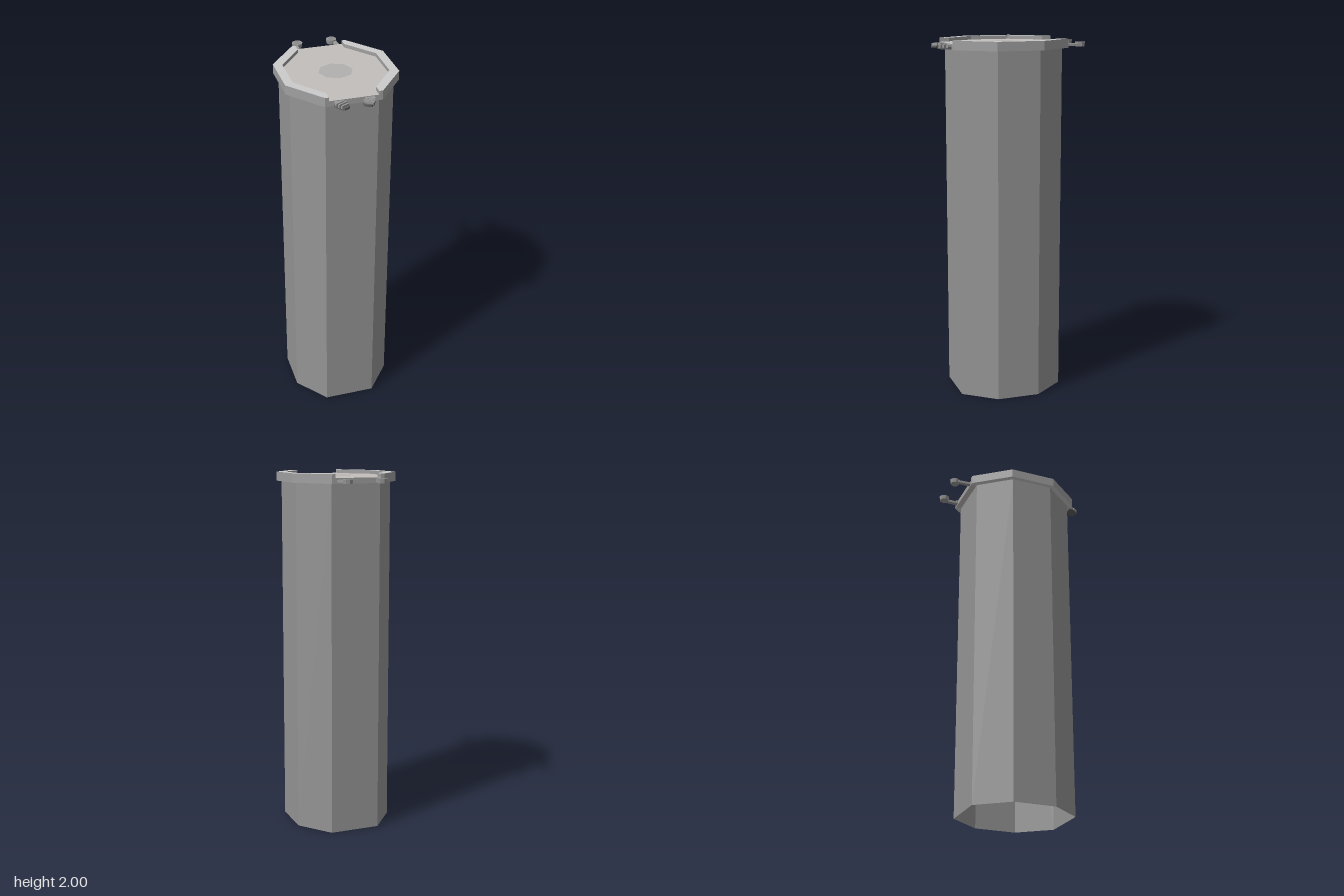
import * as THREE from 'three';

const paint = (color, side = THREE.FrontSide) => new THREE.MeshStandardMaterial({ color, flatShading: true, side });
const rimTop = paint(0xcccccc);
const rimSide = paint(0xa0a0a0);
const bodyMat = paint(0x949494, THREE.DoubleSide);
const hookMat = paint(0x9a9a9a);
const recessMat = paint(0x606060);
const knobTop = paint(0x8a8a8a);
const panelMat = paint(0xc3bebc);
const discMat = paint(0xb2b0ae);

// Upright prism from an (x, z) outline between two heights
function slab(name, outline, y0, y1, material) {
  const shape = new THREE.Shape(outline.map(([x, z]) => new THREE.Vector2(x, -z)));
  const geo = new THREE.ExtrudeGeometry(shape, { depth: y1 - y0, bevelEnabled: false });
  geo.rotateX(-Math.PI / 2).translate(0, y0, 0);
  const mesh = new THREE.Mesh(geo, material);
  mesh.name = name;
  return mesh;
}

// Flat eight-sided disc facing up
function octagonDisc(name, radius, x, y, z, material) {
  const mesh = new THREE.Mesh(new THREE.CircleGeometry(radius, 8), material);
  mesh.name = name;
  mesh.rotation.x = -Math.PI / 2;
  mesh.position.set(x, y, z);
  return mesh;
}

const mirror = (points, s) => points.map(([x, z]) => [x * s, z]);

// Eight-sided wall, open at both ends
function tubeWall(outline, y0, y1) {
  const pos = [];
  outline.forEach(([ax, az], i) => {
    const [bx, bz] = outline[(i + 1) % outline.length];
    pos.push(ax, y0, az, bx, y0, bz, bx, y1, bz, ax, y0, az, bx, y1, bz, ax, y1, az);
  });
  const geo = new THREE.BufferGeometry();
  geo.setAttribute('position', new THREE.Float32BufferAttribute(pos, 3));
  geo.computeVertexNormals();
  return geo;
}

export function createModel() {
  const model = new THREE.Group();
  model.name = 'octagonalTube';

  // Long hollow body, open underneath
  const half = [[0.14, 0.321], [0.278, 0.146], [0.278, -0.092], [0.14, -0.267]];
  const body = new THREE.Mesh(tubeWall([...half, ...mirror(half, -1).reverse()], 0, 1.955), bodyMat);
  body.name = 'body';
  model.add(body);

  // Lid panel and its centre disc
  const inner = [[0.13, 0.35], [0.13, 0.30], [0.257, 0.135], [0.257, -0.085], [0.13, -0.25], [0.13, -0.30]];
  model.add(slab('lidPanel', [...inner, ...mirror(inner, -1).reverse()], 1.95, 1.98, [panelMat, rimSide]));
  model.add(octagonDisc('centreDisc', 0.092, 0, 1.9812, 0.025, discMat));

  const outer = [[0.15, -0.30], [0.303, -0.105], [0.303, 0.156], [0.15, 0.35]];
  for (const s of [1, -1]) {
    const side = s > 0 ? 'left' : 'right';

    // Raised rim half, leaving gaps at front and back
    model.add(slab(side + 'Rim', mirror([...inner, ...outer], s), 1.95, 2, [rimTop, rimSide]));

    // Rear arm ending in an eight-sided knob
    const rear = new THREE.Group();
    rear.name = side + 'RearHook';
    rear.add(slab('rearArm', mirror([[0.10, -0.29], [0.124, -0.29], [0.12, -0.38], [0.10, -0.38]], s), 1.957, 1.971, hookMat));
    const knob = new THREE.Mesh(new THREE.CylinderGeometry(0.03, 0.026, 0.024, 8), hookMat);
    knob.name = 'rearKnob';
    knob.position.set(0.097 * s, 1.965, -0.39);
    rear.add(knob);
    rear.add(octagonDisc('knobInset', 0.021, 0.097 * s, 1.978, -0.39, knobTop));
    model.add(rear);

    // Front claw turned inwards, with a dark slot between two ridges
    const front = new THREE.Group();
    front.name = side + 'FrontClaw';
    front.add(slab('clawBase', mirror([[0.06, 0.34], [0.105, 0.34], [0.105, 0.37], [0.088, 0.403],
      [0.07, 0.418], [0.05, 0.41], [0.036, 0.398], [0.038, 0.382], [0.06, 0.355]], s), 1.953, 1.964, recessMat));
    front.add(slab('clawArm', mirror([[0.06, 0.34], [0.105, 0.34], [0.105, 0.37], [0.1, 0.38], [0.055, 0.358]], s), 1.96, 1.976, hookMat));
    for (const [x, z, w] of [[0.069, 0.380, 0.056], [0.062, 0.399, 0.046]]) {
      const ridge = new THREE.Mesh(new THREE.BoxGeometry(w, 0.018, 0.009), hookMat);
      ridge.name = 'clawRidge';
      ridge.position.set(x * s, 1.968, z);
      ridge.rotation.y = -0.5 * s;
      front.add(ridge);
    }
    model.add(front);
  }
  return model;
}
